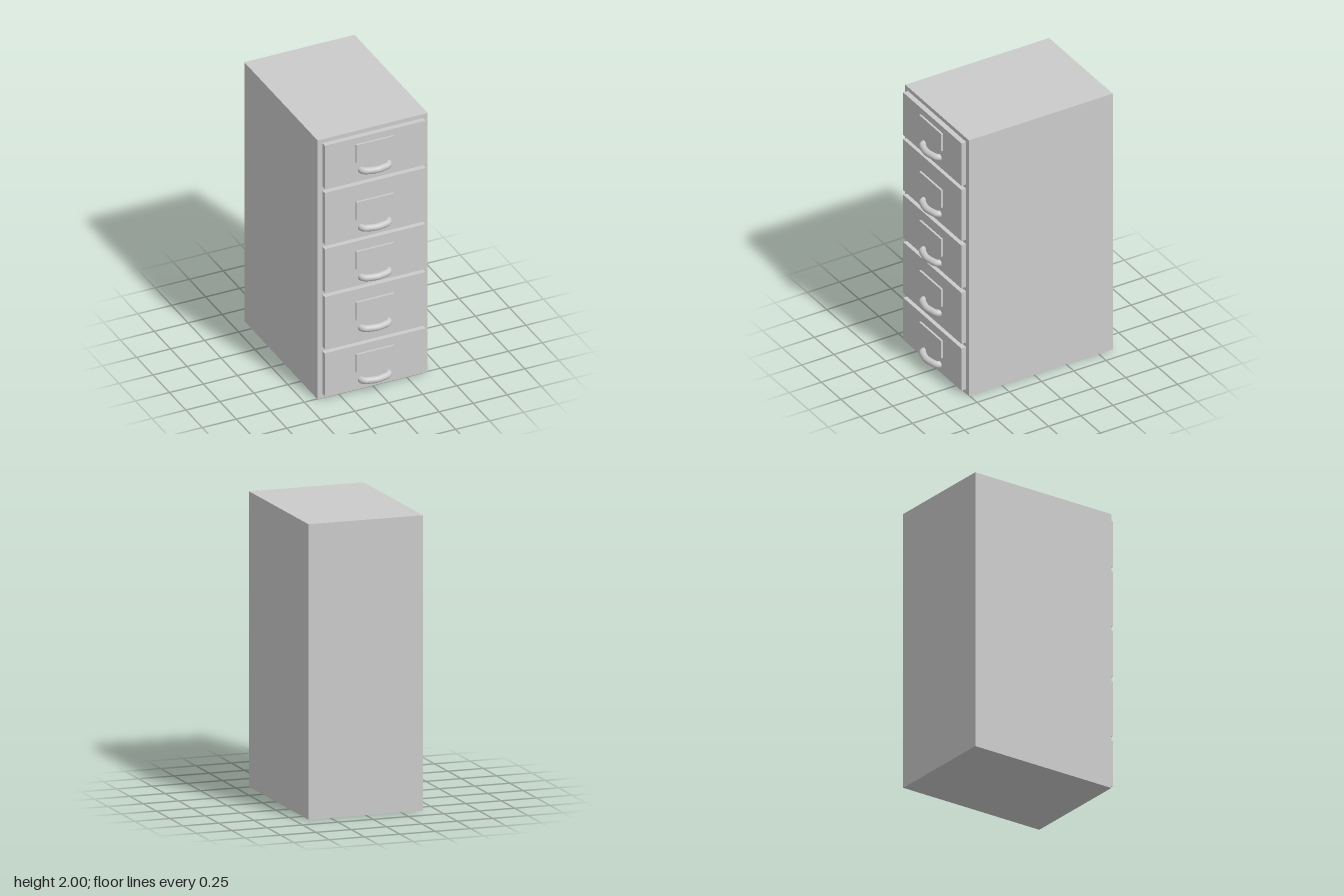
import * as THREE from 'three';

export function createModel() {
  const group = new THREE.Group();
  const mat = new THREE.MeshStandardMaterial({ color: 0xcccccc });

  function add(name, geometry, x, y, z, parent = group) {
    const mesh = new THREE.Mesh(geometry, mat);
    mesh.name = name;
    mesh.position.set(x, y, z);
    parent.add(mesh);
    return mesh;
  }

  // Cabinet body
  add('cabinet', new THREE.BoxGeometry(0.81, 2, 1.115), 0, 1, -0.0525);

  // Bowed pull handle, ends sunk into the drawer front
  const half = [[0.1, 0.53], [0.098, 0.548], [0.085, 0.564], [0.05, 0.576]];
  const path = [
    ...half.map(([x, z]) => new THREE.Vector3(-x, 0, z)),
    new THREE.Vector3(0, 0, 0.584),
    ...half.slice().reverse().map(([x, z]) => new THREE.Vector3(x, 0, z)),
  ];
  const handleGeo = new THREE.TubeGeometry(new THREE.CatmullRomCurve3(path), 32, 0.024, 16);
  const labelGeo = new THREE.BoxGeometry(0.276, 0.138, 0.03);

  // Drawers: bottom, top, label centre, handle centre
  const drawers = [
    [0.035, 0.365, 0.233, 0.094],
    [0.4, 0.8, 0.636, 0.496],
    [0.835, 1.17, 1.028, 0.888],
    [1.205, 1.605, 1.41, 1.272],
    [1.637, 1.97, 1.853, 1.715],
  ];
  drawers.forEach(([bottom, top, labelY, handleY], i) => {
    const drawer = new THREE.Group();
    drawer.name = 'drawer' + (i + 1);
    group.add(drawer);
    add('drawerFront', new THREE.BoxGeometry(0.74, top - bottom, 0.05), 0, (top + bottom) / 2, 0.517, drawer);
    add('labelPlate', labelGeo, -0.005, labelY, 0.542, drawer);
    add('handle', handleGeo, -0.003, handleY, 0, drawer);
  });

  return group;
}
